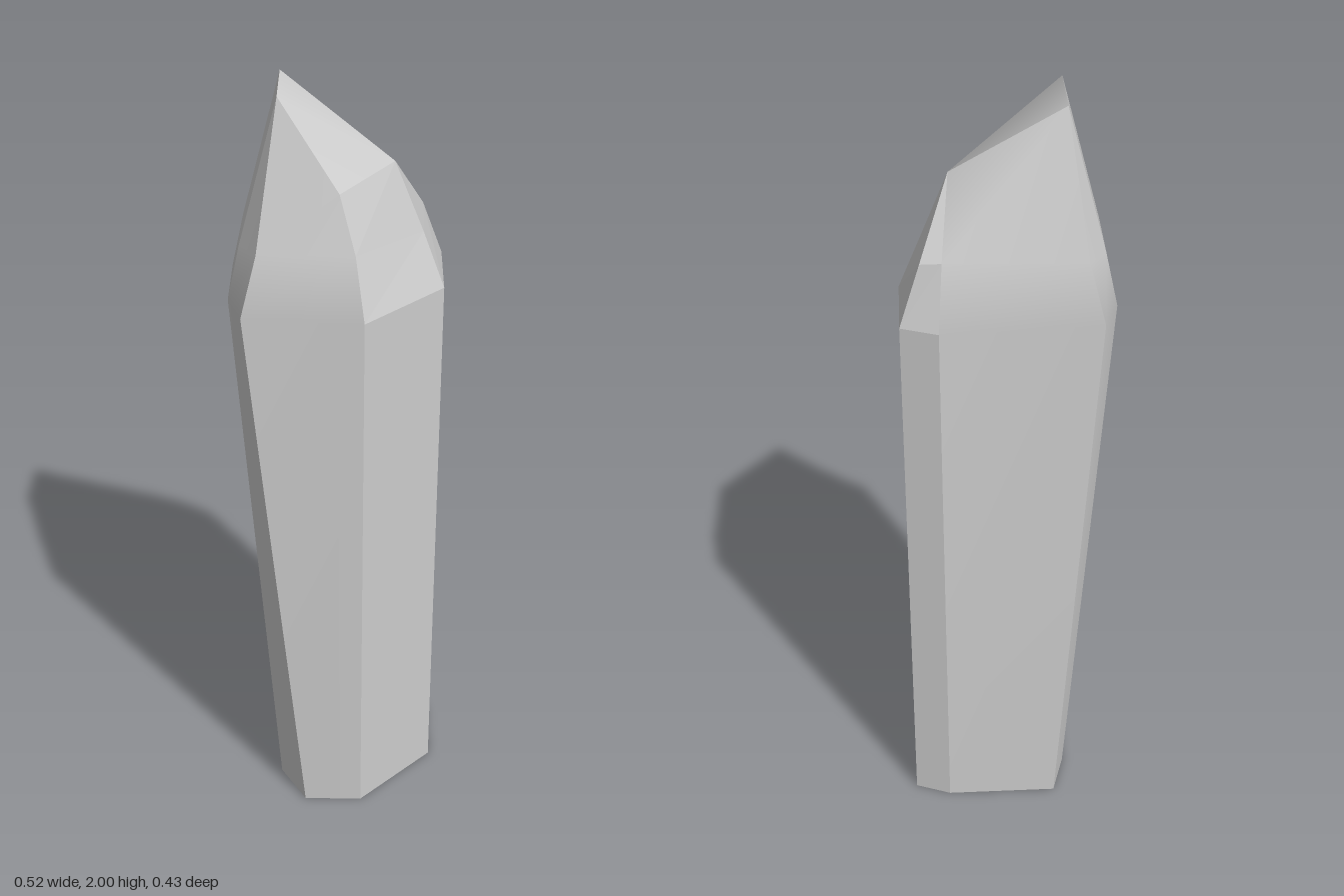
import * as THREE from 'three';

// Cross-sections of the crystal, eight corners each, anticlockwise from the back left: [x, y, z]
const base = [[-0.155, 0, -0.1], [-0.155, 0, 0.1], [-0.085, 0, 0.215], [0.067, 0, 0.215],
  [0.26, 0, 0.022], [0.26, 0, -0.18], [0.168, 0, -0.215], [-0.122, 0, -0.215]];
const shoulder = [[-0.262, 1.49, -0.1], [-0.262, 1.49, 0.092], [-0.226, 1.49, 0.192], [0.067, 1.49, 0.215],
  [0.26, 1.49, 0.022], [0.26, 1.49, -0.18], [0.168, 1.49, -0.215], [-0.226, 1.49, -0.192]];
const neck = [[-0.232, 1.63, -0.091], [-0.232, 1.63, 0.085], [-0.188, 1.64, 0.163], [0.045, 1.64, 0.163],
  [0.207, 1.63, 0], [0.209, 1.64, -0.147], [0.157, 1.65, -0.165], [-0.188, 1.64, -0.165]];

// Corners of the slanted tip, shared by several facets
const peakBack = [-0.136, 2, -0.088], peakFront = [-0.136, 2, 0.085];
const lowFront = [0.007, 1.78, 0.127], lowSide = [0.136, 1.807, -0.008];
const tip = [peakBack, peakFront, peakFront, lowFront, lowSide, lowSide, lowSide, peakBack];

const names = ['leftFacet', 'frontLeftBevel', 'frontFacet', 'frontRightFacet',
  'rightFacet', 'backRightBevel', 'backFacet', 'backLeftBevel'];
const creased = [3, 4, 5]; // facets with a sharp bend at the shoulder

function surface(name, points, index, flat, material) {
  let geometry = new THREE.BufferGeometry();
  geometry.setAttribute('position', new THREE.Float32BufferAttribute(points.flat(), 3));
  geometry.setIndex(index);
  if (flat) geometry = geometry.toNonIndexed();
  geometry.computeVertexNormals();
  const mesh = new THREE.Mesh(geometry, material);
  mesh.name = name;
  return mesh;
}

export function createModel() {
  const crystal = new THREE.Group();
  crystal.name = 'crystal';
  const material = new THREE.MeshStandardMaterial({ color: 0xcccccc, side: THREE.DoubleSide });

  // Each facet runs from the open base to the tip as its own strip, so its long edges stay sharp
  const rings = [base, shoulder, neck, tip];
  names.forEach((name, i) => {
    const j = (i + 1) % names.length;
    const points = rings.flatMap(ring => [ring[i], ring[j]]);
    const index = [];
    for (let r = 0; r < rings.length - 1; r++) {
      const a = 2 * r;
      index.push(a, a + 1, a + 3);
      const pinched = rings[r + 1][i] === rings[r + 1][j];
      if (!pinched) index.push(a, a + 3, a + 2);
    }
    crystal.add(surface(name, points, index, creased.includes(i), material));
  });

  // Slanted face closing the tip
  crystal.add(surface('tipFace', [peakBack, peakFront, lowFront, lowSide],
    [0, 1, 3, 1, 2, 3], false, material));
  return crystal;
}
